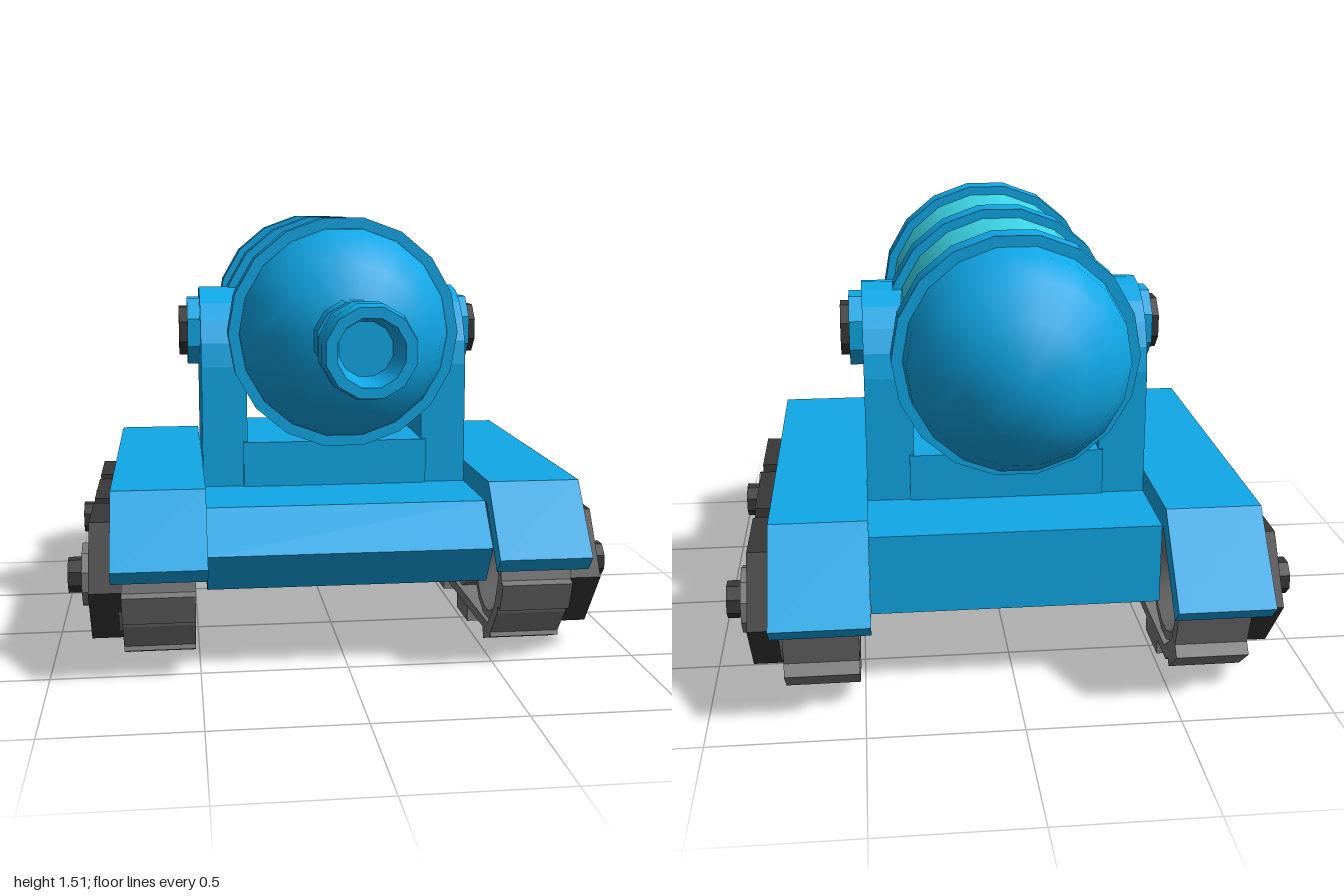
import * as THREE from 'three';
import { toCreasedNormals } from 'three/addons/utils/BufferGeometryUtils.js';

const mat = (color) => new THREE.MeshStandardMaterial({ color });

export function createModel() {
  const root = new THREE.Group();
  const blue = mat(0x0fa8e8), cyan = mat(0x3dd8e8), dark = mat(0x383838), grey = mat(0x7a7a7a);

  const add = (parent, name, geometry, material, y = 0, z = 0) => {
    const mesh = new THREE.Mesh(geometry, material);
    mesh.name = name;
    mesh.position.set(0, y, z);
    parent.add(mesh);
    return mesh;
  };
  const lathe = (pts, sides) =>
    new THREE.LatheGeometry(pts.map(([r, h]) => new THREE.Vector2(r, h)), sides, Math.PI / sides);
  // turned part along z: profile of [radius, z], back to front
  const turnedZ = (pts, sides = 18) => toCreasedNormals(lathe(pts, sides).rotateX(Math.PI / 2), 0.62);
  // turned part along x, pointing outwards on side s: profile of [radius, x]
  const turnedX = (pts, s, sides) => toCreasedNormals(lathe(pts, sides).rotateZ(-s * Math.PI / 2), 0.6);
  const disc = (r, x0, x1, s, sides) => turnedX([[0, x0], [r, x0], [r, x1], [0, x1]], s, sides);
  // side profile of [z, y] points extruded between two x values
  const slab = (pts, x0, x1, hole) => {
    const toVec = (p) => p.map(([z, y]) => new THREE.Vector2(-z, y));
    const shape = new THREE.Shape(toVec(pts));
    if (hole) shape.holes.push(new THREE.Path(toVec(hole)));
    const g = new THREE.ExtrudeGeometry(shape, { depth: Math.abs(x1 - x0), bevelEnabled: false });
    return g.rotateY(Math.PI / 2).translate(Math.min(x0, x1), 0, 0);
  };

  // tank barrel lying along z
  const barrel = new THREE.Group();
  barrel.name = 'barrel';
  barrel.position.y = 1.13;
  root.add(barrel);
  add(barrel, 'tank', turnedZ([[0.36, -0.66], [0.36, 0.32]]), cyan);
  add(barrel, 'rearCap', turnedZ([[0, -1], [0.18, -0.955], [0.295, -0.87], [0.347, -0.78], [0.36, -0.65]]), blue);
  add(barrel, 'frontCap', turnedZ([[0.36, 0.32], [0.352, 0.38], [0.32, 0.45], [0.24, 0.53], [0.12, 0.592], [0, 0.61]]), blue);
  for (const z of [-0.65, -0.18, 0.32])
    add(barrel, 'band', turnedZ([[0.34, -0.05], [0.39, -0.05], [0.39, 0.05], [0.34, 0.05]]), blue, 0, z);
  add(barrel, 'nozzle', turnedZ([
    [0.13, 0.55], [0.13, 0.69], [0.085, 0.69], [0.1, 0.82], [0.135, 0.83], [0.147, 0.86],
    [0.147, 0.95], [0.138, 1], [0.105, 1], [0.085, 0.88], [0, 0.88],
  ], 12), blue);

  // hull and cradle
  add(root, 'hull', slab([[0.46, 0.56], [0.59, 0.425], [0.5, 0.29], [-0.73, 0.29], [-0.73, 0.56]], -0.475, 0.475), blue);
  add(root, 'cradleBase', slab([[0.135, 0.5], [0.135, 0.72], [-0.43, 0.72], [-0.43, 0.5]], -0.33, 0.33), blue);

  const arch = [[-0.42, 0.5], [0.12, 0.5]];
  for (let i = 0; i <= 10; i++) {
    const a = i / 10 * Math.PI;
    arch.push([-0.15 + 0.27 * Math.cos(a), 0.99 + 0.27 * Math.sin(a)]);
  }

  const fender = [[0.69, 0.41], [0.505, 0.635], [-0.77, 0.635], [-1, 0.38], [-0.95, 0.33],
    [-0.74, 0.56], [0.48, 0.56], [0.645, 0.36]];
  const trackOuter = [[0.44, 0.55], [0.52, 0.45], [0.55, 0.3], [0.5, 0.17], [0.4, 0.06], [-0.69, 0.05],
    [-0.8, 0.14], [-0.85, 0.3], [-0.82, 0.44], [-0.73, 0.55]];
  // inner outline of the track: pulled in towards its middle
  const trackInner = trackOuter.map(([z, y]) => [-0.15 + (z + 0.15) * 0.94, 0.3 + (y - 0.3) * 0.85]);
  // ends of each tread lug as [z, y, z, y]
  const lugs = [[0.05, 0.027, -0.13, 0.027], [-0.38, 0.027, -0.56, 0.027], [0.41, 0.085, 0.3, 0.045],
    [-0.72, 0.07, -0.82, 0.155], [0.55, 0.3, 0.51, 0.2], [-0.845, 0.33, -0.82, 0.42],
    [0.53, 0.42, 0.47, 0.5], [0.29, 0.53, 0.19, 0.53], [-0.11, 0.53, -0.21, 0.53], [-0.51, 0.53, -0.61, 0.53]];
  const plates = [
    [[0.54, 0.3], [0.4, 0.507], [0.105, 0.507], [0.105, 0.097], [0.38, 0.097]],
    [[0.03, 0.507], [-0.325, 0.507], [-0.325, 0.097], [0.03, 0.097]],
    [[-0.405, 0.507], [-0.69, 0.507], [-0.835, 0.3], [-0.67, 0.097], [-0.405, 0.097]],
  ];

  // parts found on both sides
  for (const s of [1, -1]) {
    const side = new THREE.Group();
    side.name = s > 0 ? 'leftSide' : 'rightSide';
    root.add(side);

    add(side, 'upright', slab(arch, s * 0.315, s * 0.475), blue);
    add(side, 'pivotBoss', disc(0.13, 0.46, 0.52, s, 8), blue, 1.1, -0.15);
    add(side, 'pivotBolt', disc(0.095, 0.5, 0.55, s, 8), dark, 1.1, -0.15);
    add(side, 'fender', slab(fender, s * 0.475, s * 0.787), blue);

    add(side, 'trackBelt', slab(trackOuter, s * 0.515, s * 0.757, trackInner), grey);
    for (const [z0, y0, z1, y1] of lugs) {
      const g = new THREE.BoxGeometry(0.242, 0.054, Math.hypot(z1 - z0, y1 - y0));
      const lug = add(side, 'trackLug', g, grey, (y0 + y1) / 2, (z0 + z1) / 2);
      lug.position.x = s * 0.636;
      lug.rotation.x = Math.atan2(y1 - y0, z0 - z1);
    }

    // wheels with a dished inner face
    for (const z of [0.285, -0.15, -0.59])
      add(side, 'wheel', turnedX([[0, 0.6], [0.13, 0.6], [0.18, 0.53], [0.21, 0.53], [0.21, 0.77], [0, 0.77]], s, 16), grey, 0.3, z);

    for (const p of plates) add(side, 'sidePlate', slab(p, s * 0.757, s * 0.865), dark);
    for (const z of [0.285, -0.59]) {
      add(side, 'hub', disc(0.112, 0.85, 0.895, s, 10), grey, 0.297, z);
      add(side, 'hubBolt', disc(0.062, 0.88, 0.945, s, 8), dark, 0.297, z);
    }
  }
  return root;
}
